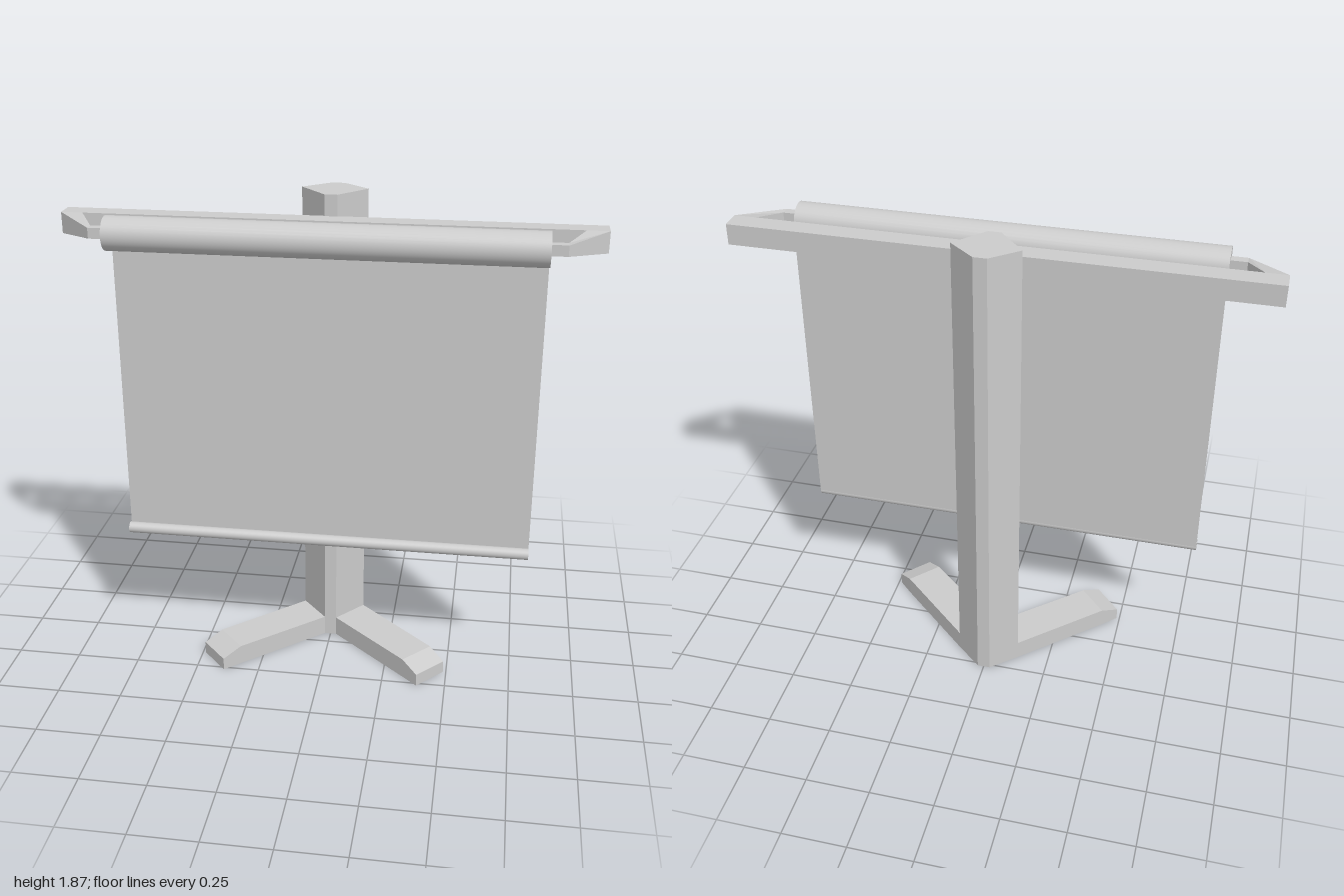
import * as THREE from 'three';

const grey = () => new THREE.MeshStandardMaterial({ color: 0xcccccc });

// Flat-faced solid through a run of four-cornered rings, closed at both ends
function loft(rings) {
  const pos = [];
  const quad = (a, b, c, d) => pos.push(...a, ...b, ...c, ...a, ...c, ...d);
  for (let k = 0; k < rings.length - 1; k++) {
    for (let j = 0; j < 4; j++) {
      const n = (j + 1) % 4;
      quad(rings[k][j], rings[k][n], rings[k + 1][n], rings[k + 1][j]);
    }
  }
  const [a, b, c, d] = rings[0];
  quad(a, d, c, b);
  quad(...rings[rings.length - 1]);
  const geo = new THREE.BufferGeometry();
  geo.setAttribute('position', new THREE.Float32BufferAttribute(pos, 3));
  geo.computeVertexNormals();
  return geo;
}

// Ring from inner and outer plan points [x, z] and a height range; side -1 mirrors it
function ring(side, [xi, zi], [xo, zo], y0, y1) {
  const r = [[xi, y0, zi], [xo, y0, zo], [xo, y1, zo], [xi, y1, zi]];
  return side > 0 ? r : r.map(([x, y, z]) => [-x, y, z]).reverse();
}

export function createModel() {
  const model = new THREE.Group();
  model.name = 'screenOnStand';
  const add = (name, geo, x = 0, y = 0, z = 0) => {
    const mesh = new THREE.Mesh(geo, grey());
    mesh.name = name;
    mesh.position.set(x, y, z);
    model.add(mesh);
    return mesh;
  };

  // Six-sided upright post
  const plan = [[-0.025, -0.265], [-0.125, -0.178], [-0.024, -0.06],
    [0.024, -0.06], [0.125, -0.178], [0.025, -0.265]];
  const postShape = new THREE.Shape(plan.map(([x, z]) => new THREE.Vector2(x, -z)));
  const postGeo = new THREE.ExtrudeGeometry(postShape, { depth: 1.87, bevelEnabled: false });
  postGeo.rotateX(-Math.PI / 2);
  add('post', postGeo);

  // Crossbar along the front of the post
  add('crossbar', new THREE.BoxGeometry(2, 0.08, 0.08), 0, 1.75, -0.025);

  for (const side of [-1, 1]) {
    const label = side > 0 ? 'left' : 'right';

    // Splayed foot with a sloping toe
    add(label + 'Foot', loft([
      ring(side, [0.024, -0.06], [0.125, -0.178], 0, 0.08),
      ring(side, [0.328, 0.21], [0.43, 0.1], 0, 0.08),
      ring(side, [0.388, 0.265], [0.488, 0.156], 0, 0.05),
    ]));

    // Tapered arm bending in to a square pin that carries the roller
    add(label + 'Arm', loft([
      ring(side, [0.918, 0.015], [1, 0.015], 1.71, 1.79),
      ring(side, [0.855, 0.12], [0.855, 0.155], 1.73, 1.77),
      ring(side, [0.78, 0.12], [0.78, 0.155], 1.73, 1.77),
    ]));
  }

  // Roller, hanging sheet and bottom rod
  const bar = (r) => new THREE.CylinderGeometry(r, r, 1.59, 32).rotateZ(Math.PI / 2);
  add('roller', bar(0.064), 0, 1.748, 0.134);
  add('sheet', new THREE.BoxGeometry(1.59, 1.2, 0.003), 0, 1.125, 0.068);
  add('bottomRod', bar(0.022), 0, 0.527, 0.088);

  return model;
}
